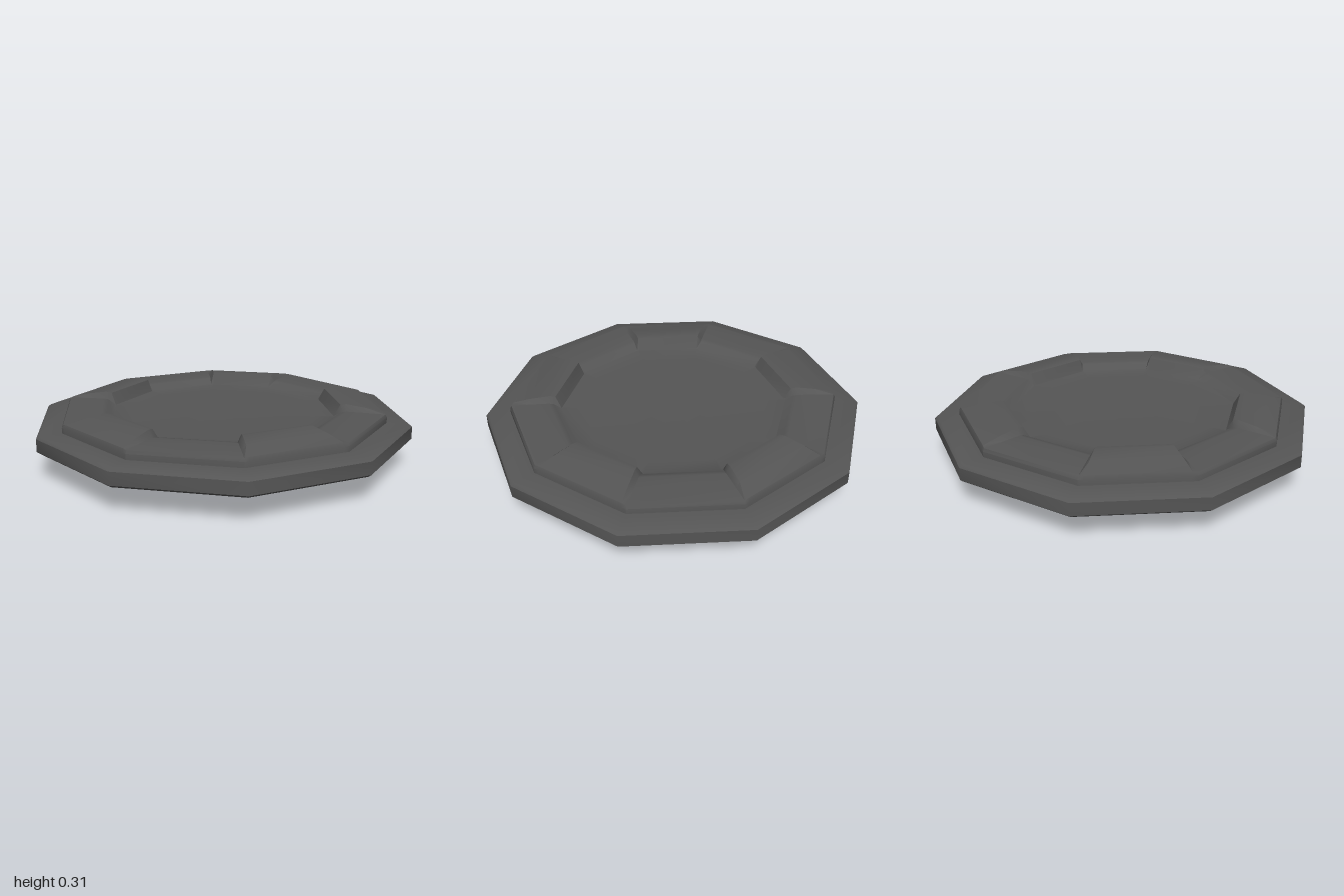
import * as THREE from 'three';
import { toCreasedNormals } from 'three/addons/utils/BufferGeometryUtils.js';

const SIDES = 10;
const STEP = (Math.PI * 2) / SIDES;
const CREASE = 0.7; // keeps the ten sides soft, the steps crisp

// Ten-sided turned solid with a corner on the x axis
function turned(points) {
  const profile = points.map(([r, y]) => new THREE.Vector2(r, y));
  return toCreasedNormals(new THREE.LatheGeometry(profile, SIDES, STEP / 2, Math.PI * 2), CREASE);
}

// Point direction on the unit decagon: fraction t along side i
function onSide(i, t) {
  const a = i * STEP, b = a + STEP;
  return [
    THREE.MathUtils.lerp(Math.cos(a), Math.cos(b), t),
    THREE.MathUtils.lerp(Math.sin(a), Math.sin(b), t),
  ];
}

// Dished top whose every second side carries a raised pad
function dishGeometry() {
  const low = [[0.87, 0.2], [0.87, 0.25], [0.862, 0.265], [0.77, 0.268], [0.665, 0.27], [0.64, 0.266], [0.6, 0.238], [0.5, 0.232], [0, 0.23]];
  const high = [[0.87, 0.2], [0.87, 0.25], [0.862, 0.268], [0.77, 0.289], [0.665, 0.305], [0.635, 0.3], [0.6, 0.238], [0.5, 0.232], [0, 0.23]];
  const sections = [];
  for (let i = 0; i < SIDES; i += 2) {
    sections.push([onSide(i, 0), low], [onSide(i, 0.05), high], [onSide(i, 0.95), high], [onSide(i, 1), low]);
  }

  const positions = [], index = [];
  const n = low.length;
  sections.forEach(([[x, z], profile], s) => {
    for (const [r, y] of profile) positions.push(x * r, y, z * r);
    const a = s * n, b = ((s + 1) % sections.length) * n;
    for (let p = 0; p < n - 1; p++) {
      index.push(a + p, a + p + 1, b + p);
      if (p < n - 2) index.push(a + p + 1, b + p + 1, b + p);
    }
  });
  const geometry = new THREE.BufferGeometry();
  geometry.setAttribute('position', new THREE.Float32BufferAttribute(positions, 3));
  geometry.setIndex(index);
  return toCreasedNormals(geometry, CREASE);
}

export function createModel() {
  const group = new THREE.Group();
  group.name = 'decagonalPlate';
  const material = new THREE.MeshStandardMaterial({ color: 0x555555 });
  const add = (name, geometry) => {
    const mesh = new THREE.Mesh(geometry, material);
    mesh.name = name;
    group.add(mesh);
  };

  // Foot under the plate
  add('foot', turned([[0, 0], [0.3, 0.004], [0.49, 0.012], [0.51, 0.026], [0.515, 0.075]]));

  // Curved underside and wide flange
  add('flange', turned([
    [0.48, 0.064], [0.6, 0.067], [0.72, 0.078], [0.77, 0.092], [0.84, 0.124], [0.88, 0.131],
    [0.985, 0.131], [1, 0.143], [1, 0.208], [0.985, 0.22], [0.86, 0.222],
  ]));

  // Stepped rim with raised pads and sunken floor
  add('dish', dishGeometry());
  return group;
}
